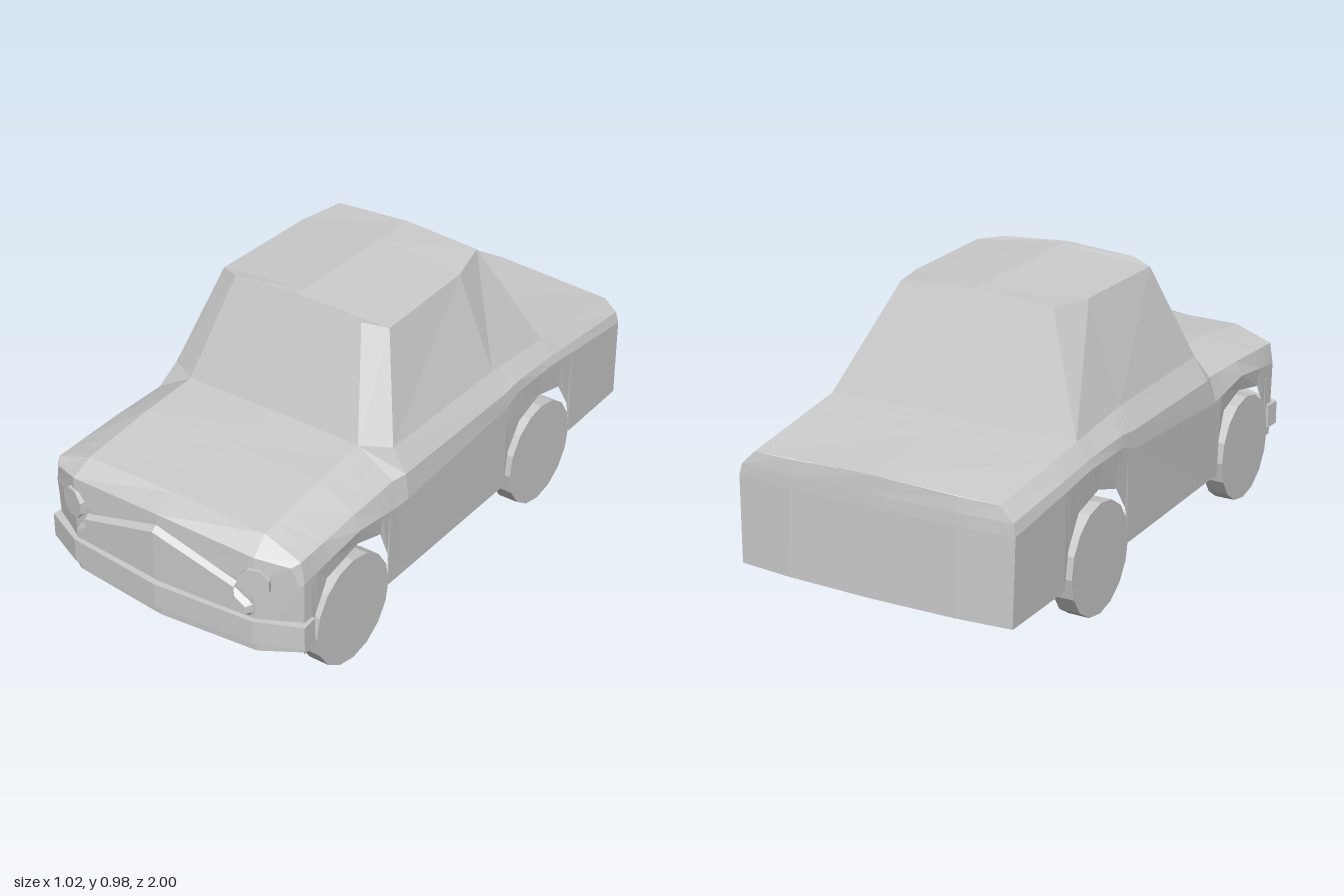
import * as THREE from 'three';

const mat = new THREE.MeshStandardMaterial({ color: 0xcccccc, flatShading: true });

// Surface through equal-length rows of points; it faces (along row) x (row to row)
function grid(rows) {
  const n = rows[0].length, idx = [];
  for (let r = 0; r < rows.length - 1; r++)
    for (let c = 0; c < n - 1; c++) {
      const a = r * n + c, b = a + n;
      idx.push(a, a + 1, b + 1, a, b + 1, b);
    }
  const g = new THREE.BufferGeometry();
  g.setAttribute('position', new THREE.Float32BufferAttribute(rows.flat(2), 3));
  g.setIndex(idx);
  const flat = g.toNonIndexed();
  flat.computeVertexNormals();
  return flat;
}

// Completes a row that ends on the centre line with its mirror image
const flip = ([x, y, z]) => [-x, y, z];
const mirror = half => [...half, ...half.slice(0, -1).reverse().map(flip)];

// Linear lookup in a table of [key, ...values]
function lookup(table, z) {
  let i = 0;
  while (i < table.length - 2 && z > table[i + 1][0]) i++;
  const a = table[i], b = table[i + 1];
  const t = THREE.MathUtils.clamp((z - a[0]) / (b[0] - a[0]), 0, 1);
  return a.slice(1).map((v, k) => v + (b[k + 1] - v) * t);
}

// Lower edge of the flanks: z, y
const rearArch = [[-0.67, 0.16], [-0.645, 0.29], [-0.58, 0.39], [-0.45, 0.42], [-0.33, 0.38], [-0.265, 0.29], [-0.245, 0.16]];
const frontArch = [[0.445, 0.155], [0.44, 0.28], [0.48, 0.38], [0.6, 0.415], [0.76, 0.38], [0.82, 0.28], [0.84, 0.16]];
frontArch[0][0] = 0.435;
const sill = [...rearArch, ...frontArch];

// Body sections: z, crease x y, shoulder x y, deck edge x y, centre y
const sections = [
  [-0.52, 0.5, 0.51, 0.49, 0.54, 0.45, 0.595, 0.6],
  [-0.3, 0.5, 0.51, 0.495, 0.55, 0.445, 0.61, 0.61],
  [-0.22, 0.5, 0.48, 0.495, 0.54, 0.445, 0.615, 0.615],
  [0.34, 0.5, 0.44, 0.49, 0.53, 0.44, 0.61, 0.61],
  [0.39, 0.5, 0.44, 0.475, 0.525, 0.34, 0.605, 0.61],
  [0.6, 0.503, 0.47, 0.48, 0.52, 0.345, 0.59, 0.592],
  [0.88, 0.497, 0.43, 0.485, 0.505, 0.35, 0.555, 0.56],
];
const tail = [[0.49, 0.165, -0.985], [0.495, 0.46, -0.975], [0.485, 0.5, -0.972], [0.44, 0.545, -0.965], [0, 0.56, -0.98]];
const nose = [[0.49, 0.16, 0.87], [0.49, 0.42, 0.89], [0.465, 0.49, 0.905], [0.36, 0.51, 0.95], [0, 0.535, 0.975]];

function bodyShell() {
  const stations = [...new Set([...sill, ...sections].map(s => s[0]))].sort((a, b) => a - b);
  const rows = stations.map(z => {
    const [cx, cy, sx, sy, dx, dy, top] = lookup(sections, z < -0.52 ? -0.52 : z);
    // deck falls gently towards the tail
    const t = Math.max(0, (-0.52 - z) / 0.455);
    const row = [[0.492, lookup(sill, z)[0], z], [cx, cy - 0.05 * t, z], [sx, sy - 0.04 * t, z],
      [dx - 0.01 * t, dy - 0.05 * t, z], [0, top - 0.04 * t, z]];
    return mirror(row);
  });
  return grid([mirror(tail), ...rows, mirror(nose)]);
}

function frontPanel() {
  return grid([
    mirror([nose[2], nose[3], nose[4]]),
    mirror([nose[1], [0.36, 0.42, 0.955], [0, 0.42, 0.98]]),
    mirror([nose[0], [0.36, 0.155, 0.945], [0, 0.15, 0.975]]),
  ]);
}

function rearPanel() {
  const rows = [
    [tail[3], [0.3, 0.55, -0.975], tail[4]],
    [tail[2], [0.3, 0.5, -0.983], [0, 0.5, -0.985]],
    [tail[1], [0.3, 0.46, -0.986], [0, 0.46, -0.988]],
    [tail[0], [0.3, 0.163, -0.998], [0, 0.16, -1]],
  ];
  return grid(rows.map(r => mirror(r).reverse()));
}

// Floor with a notch at each wheel
function floorPan() {
  const half = [[0.3, -0.998], [0.49, -0.985]];
  for (const arch of [rearArch, frontArch]) {
    const a = arch[0][0], b = arch[arch.length - 1][0];
    half.push([0.492, a], [0.38, a], [0.38, b], [0.492, b]);
  }
  half.push([0.49, 0.87], [0.36, 0.945]);
  const pts = [[0, -1], ...half, [0, 0.975], ...half.map(([x, z]) => [-x, z]).reverse()];
  const g = new THREE.ShapeGeometry(new THREE.Shape(pts.map(p => new THREE.Vector2(...p))));
  return g.rotateX(Math.PI / 2).translate(0, 0.158, 0);
}

// Inward lip along a wheel arch
function archLip(arch, side) {
  const edge = x => arch.map(([z, y]) => [side * x, y, z]);
  return grid(side > 0 ? [edge(0.38), edge(0.492)] : [edge(0.492), edge(0.38)]);
}

function cabinSides() {
  const base = [[0, 0.61, 0.39], [0.34, 0.607, 0.39], [0.44, 0.61, 0.34], [0.445, 0.615, -0.22], [0.45, 0.595, -0.52], [0, 0.6, -0.52]];
  const top = [[0, 0.975, 0.25], [0.25, 0.957, 0.25], [0.33, 0.945, 0.21], [0.32, 0.948, -0.2], [0.28, 0.957, -0.36], [0, 0.975, -0.36]];
  return grid([mirror(base), mirror(top)]);
}

function roofPanel() {
  const rows = [[0.28, 0.957, -0.36], [0.32, 0.948, -0.2], [0.33, 0.945, 0.21], [0.25, 0.957, 0.25]];
  return grid(rows.map(p => mirror([p, [0, 0.975, p[2]]])));
}

// Raised grille with a peaked top edge
function grillePanel() {
  const cols = [[0.355, 0.335], [0.34, 0.35], [0.29, 0.385], [0.3, 0.41], [0, 0.5]];
  const row = (y, dz) => mirror(cols.map(([x, top], i) =>
    [x, y ?? top - (dz > 0 ? 0.02 : 0), 0.98 - 0.07 * x + (i ? dz : -0.005)]));
  return grid([row(null, -0.008), row(null, 0.017), row(0.305, 0.017), row(0.285, -0.01)]);
}

function bumperBar() {
  const outer = [[0.505, 0.84], [0.51, 0.9], [0.36, 0.967], [0, 1]];
  const inner = [[0, 0.96], [0.34, 0.93], [0.475, 0.875], [0.475, 0.84]];
  const pts = [...outer, ...outer.slice(0, -1).reverse().map(([x, z]) => [-x, z]),
    ...inner.slice(1).reverse().map(([x, z]) => [-x, z]), ...inner];
  const shape = new THREE.Shape(pts.map(p => new THREE.Vector2(...p)));
  return new THREE.ExtrudeGeometry(shape, { depth: 0.085, bevelEnabled: false })
    .rotateX(Math.PI / 2).translate(0, 0.282, 0);
}

export function createModel() {
  const car = new THREE.Group();
  car.name = 'car';
  const add = (name, geo) => {
    const m = new THREE.Mesh(geo, mat);
    m.name = name;
    car.add(m);
    return m;
  };

  add('bodyShell', bodyShell());
  add('frontPanel', frontPanel());
  add('rearPanel', rearPanel());
  add('floorPan', floorPan());
  add('cabinSides', cabinSides());
  add('roof', roofPanel());
  add('grille', grillePanel());
  add('frontBumper', bumperBar());

  // Wheels, arches and lamps on both sides
  const wheel = new THREE.CylinderGeometry(0.19, 0.19, 0.073, 16).rotateZ(Math.PI / 2);
  const lamp = new THREE.CylinderGeometry(0.054, 0.054, 0.03, 8).rotateY(Math.PI / 8).rotateX(Math.PI / 2);
  for (const [side, label] of [[1, 'Left'], [-1, 'Right']]) {
    add('front' + label + 'Wheel', wheel).position.set(side * 0.468, 0.19, 0.64);
    add('rear' + label + 'Wheel', wheel).position.set(side * 0.468, 0.19, -0.455);
    add('front' + label + 'Arch', archLip(frontArch, side));
    add('rear' + label + 'Arch', archLip(rearArch, side));
    const light = add('headlight' + label, lamp);
    light.position.set(side * 0.36, 0.42, 0.945);
    light.rotation.y = side * 0.3;
  }
  return car;
}
